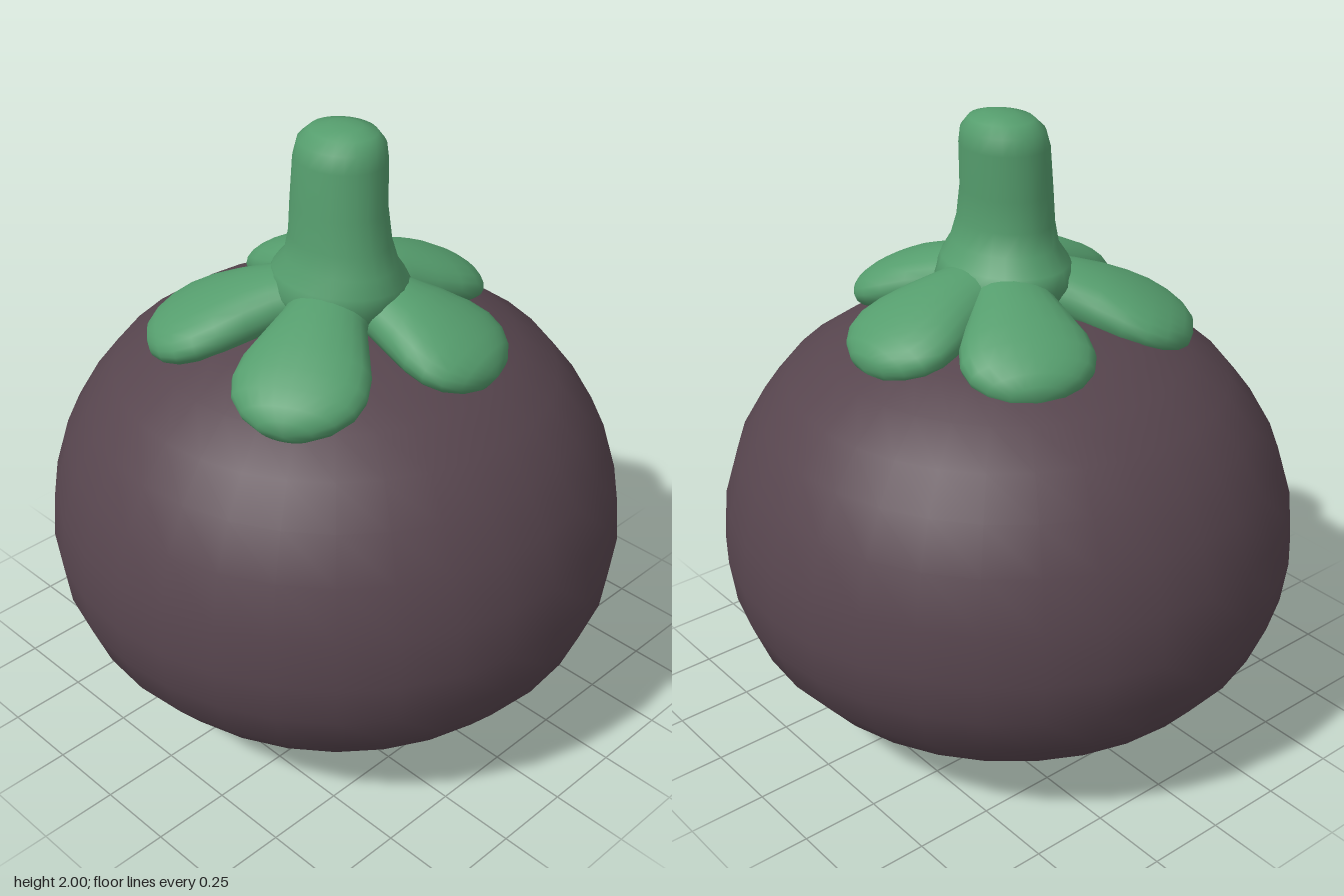
import * as THREE from 'three';
import { mergeVertices } from 'three/addons/utils/BufferGeometryUtils.js';

const SIDES = 24;

// Skin a closed surface over elliptical rings { c: centre, u, v: half-axes }
function loft(rings) {
  const pos = [], index = [];
  rings.forEach(({ c, u, v }, i) => {
    for (let j = 0; j < SIDES; j++) {
      const a = (j / SIDES) * Math.PI * 2;
      const p = c.clone().addScaledVector(u, Math.cos(a)).addScaledVector(v, Math.sin(a));
      pos.push(p.x, p.y, p.z);
      if (i === rings.length - 1) continue;
      const p0 = i * SIDES + j, p1 = i * SIDES + (j + 1) % SIDES;
      index.push(p0, p0 + SIDES, p1, p1, p0 + SIDES, p1 + SIDES);
    }
  });
  let g = new THREE.BufferGeometry();
  g.setAttribute('position', new THREE.Float32BufferAttribute(pos, 3));
  g.setIndex(index);
  g = mergeVertices(g);
  g.computeVertexNormals();
  return g;
}

const V = (x, y, z) => new THREE.Vector3(x, y, z);

// Rounded sepal running outward from the calyx centre and drooping over the fruit
function sepalGeometry(dx, dz, length) {
  const d = V(dx, 0, dz).normalize();
  const side = d.clone().cross(V(0, 1, 0));
  // fraction of length, half width, half thickness
  const rows = [
    [0, 0.1, 0.06], [0.18, 0.12, 0.08], [0.34, 0.135, 0.09], [0.48, 0.165, 0.093],
    [0.62, 0.195, 0.09], [0.74, 0.203, 0.083], [0.84, 0.185, 0.073],
    [0.92, 0.142, 0.06], [0.975, 0.082, 0.04], [1, 0, 0],
  ];
  return loft(rows.map(([t, w, h]) => {
    const r = t * length;
    const c = d.clone().multiplyScalar(r).add(V(-0.02, 1.49 - 0.2 * r - 0.2 * r * r, 0.05));
    return { c, u: side.clone().multiplyScalar(w), v: V(0.28 * d.x, 1, 0.28 * d.z).multiplyScalar(h) };
  }));
}

export function createModel() {
  const model = new THREE.Group();
  const fruitSkin = new THREE.MeshStandardMaterial({ color: 0x57454e });
  fruitSkin.name = 'fruit skin';
  const leafGreen = new THREE.MeshStandardMaterial({ color: 0x559d6d });
  leafGreen.name = 'leaf green';

  const add = (name, geometry, material, parent = model) => {
    const mesh = new THREE.Mesh(geometry, material);
    mesh.name = name;
    parent.add(mesh);
    return mesh;
  };

  // Fruit body: squat, widest below the middle
  const profile = [
    [0, 0], [0.21, 0.015], [0.43, 0.06], [0.6, 0.13], [0.75, 0.235], [0.845, 0.35],
    [0.9, 0.49], [0.918, 0.63], [0.903, 0.79], [0.855, 0.95], [0.78, 1.08],
    [0.69, 1.19], [0.57, 1.275], [0.43, 1.345], [0.25, 1.39], [0, 1.41],
  ].map(([r, y]) => new THREE.Vector2(r, y));
  const fruit = add('fruit', new THREE.LatheGeometry(profile, 32), fruitSkin);
  fruit.scale.z = 1.018;

  // Calyx: five sepals around the stem
  const calyx = new THREE.Group();
  calyx.name = 'calyx';
  model.add(calyx);
  [
    [0.23, -0.42, 0.56], [0.53, -0.01, 0.54], [0.12, 0.52, 0.54],
    [-0.5, 0.28, 0.6], [-0.42, -0.38, 0.6],
  ].forEach(([x, z, length], i) => add(`sepal${i + 1}`, sepalGeometry(x, z, length), leafGreen, calyx));

  // Stem: flares into the calyx, rounded at the top; y, centre x, z, half width x, z
  const stem = [
    [1.4, -0.03, 0.05, 0, 0], [1.42, -0.03, 0.05, 0.19, 0.21], [1.49, -0.03, 0.05, 0.21, 0.235],
    [1.54, -0.04, 0.06, 0.185, 0.225], [1.59, -0.045, 0.07, 0.152, 0.19], [1.66, -0.05, 0.07, 0.136, 0.172],
    [1.76, -0.045, 0.06, 0.13, 0.16], [1.9, -0.035, 0.057, 0.13, 0.15], [1.95, -0.03, 0.057, 0.12, 0.14],
    [1.982, -0.026, 0.06, 0.092, 0.108], [1.996, -0.022, 0.065, 0.045, 0.055], [2, -0.02, 0.067, 0, 0],
  ];
  add('stem', loft(stem.map(([y, x, z, a, b]) => ({ c: V(x, y, z), u: V(a, 0, 0), v: V(0, 0, b) }))), leafGreen);

  return model;
}
